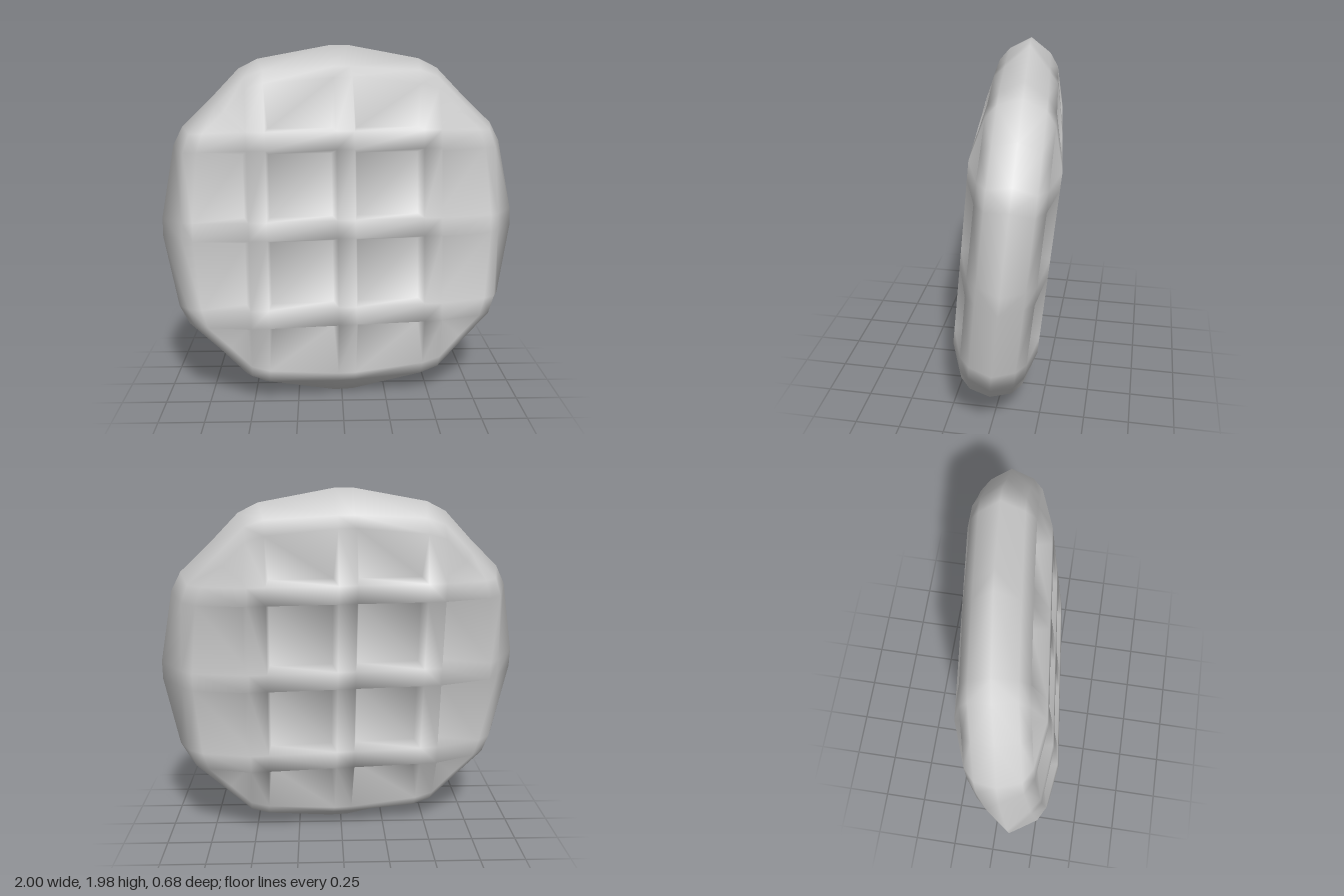
import * as THREE from 'three';
import { mergeVertices } from 'three/addons/utils/BufferGeometryUtils.js';

// Edges of the three ribs running each way; indices 0 and 7 are the rim
const LINES = [0, -0.535, -0.435, -0.05, 0.05, 0.435, 0.535, 0];
const TOP = 0.23;   // rib height above the middle plane
const FLOOR = 0.14; // pit floor height beside the ribs

// Rim rings from the face to the equator: reach at the middle rib, at the inner and
// outer edge of the side ribs, at the cut corner, height, rib widening, upward shift
const RINGS = [
  { reach: [0.835, 0.80, 0.77], corner: 0.65, h: 0.17, spread: 1, lift: 0 },
  { reach: [0.895, 0.875, 0.84], corner: 0.687, h: 0.118, spread: 1, lift: 0 },
  { reach: [1.005, 0.93, 0.877], corner: 0.716, h: 0, spread: 1.05, lift: 0.017 },
];

const isRim = (i) => i === 0 || i === 7;

// Point of a rim ring at grid position (i, j)
function rimPoint(ring, i, j) {
  const along = (k) => {
    if (!isRim(k)) return LINES[k] * ring.spread;
    const sign = k === 0 ? -1 : 1;
    if (isRim(i) && isRim(j)) return sign * ring.corner;
    const a = Math.abs(LINES[k === i ? j : i]);
    return sign * ring.reach[a < 0.1 ? 0 : a < 0.5 ? 1 : 2];
  };
  return [along(i), along(j) * 0.99 + ring.lift, ring.h];
}

const facePoint = (i, j) =>
  isRim(i) || isRim(j) ? rimPoint(RINGS[0], i, j) : [LINES[i], LINES[j], TOP];

// Sunken corner of pit (ci, cj); corners on the rim stay where they are
function floorPoint(i, j, ci, cj) {
  if (isRim(i) || isRim(j)) return facePoint(i, j);
  const inset = 0.02;
  return [LINES[i] + (i === ci ? inset : -inset), LINES[j] + (j === cj ? inset : -inset), FLOOR];
}

function waffleGeometry() {
  const pos = [];
  const same = (p, q) => p.every((v, k) => Math.abs(v - q[k]) < 1e-6);

  for (const side of [1, -1]) {
    const tri = (a, b, c) => {
      if (same(a, b) || same(b, c) || same(a, c)) return;
      for (const p of side > 0 ? [a, b, c] : [a, c, b]) pos.push(p[0], p[1], p[2] * side);
    };
    const quad = (a, b, c, d, flip = false) => {
      if (flip) { tri(a, b, d); tri(b, c, d); } else { tri(a, b, c); tri(a, c, d); }
    };

    // Ribs and pits
    for (let i = 0; i < 7; i++) {
      for (let j = 0; j < 7; j++) {
        const ids = [[i, j], [i + 1, j], [i + 1, j + 1], [i, j + 1]];
        const top = ids.map(([a, b]) => facePoint(a, b));
        if (i % 2 || j % 2) { quad(...top); continue; }
        const low = ids.map(([a, b]) => floorPoint(a, b, i, j));
        for (let k = 0; k < 4; k++) {
          const n = (k + 1) % 4;
          quad(top[k], top[n], low[n], low[k]);
        }
        // the fold of a corner pit runs from its deep corner to the rim
        quad(...low, (i === 0 && j === 6) || (i === 6 && j === 0));
      }
    }

    // Rounded rim, walked counter-clockwise
    const loop = [];
    for (let k = 0; k < 7; k++) loop.push([k, 0]);
    for (let k = 0; k < 7; k++) loop.push([7, k]);
    for (let k = 7; k > 0; k--) loop.push([k, 7]);
    for (let k = 7; k > 0; k--) loop.push([0, k]);
    for (let r = 0; r < RINGS.length - 1; r++) {
      loop.forEach((p, k) => {
        const q = loop[(k + 1) % loop.length];
        quad(rimPoint(RINGS[r + 1], ...p), rimPoint(RINGS[r + 1], ...q),
          rimPoint(RINGS[r], ...q), rimPoint(RINGS[r], ...p));
      });
    }
  }

  const raw = new THREE.BufferGeometry();
  raw.setAttribute('position', new THREE.Float32BufferAttribute(pos, 3));
  const geometry = mergeVertices(raw, 1e-4);
  geometry.computeVertexNormals();
  return geometry;
}

export function createModel() {
  const group = new THREE.Group();
  group.name = 'waffle';
  const body = new THREE.Mesh(waffleGeometry(), new THREE.MeshStandardMaterial({ color: 0xcccccc }));
  body.name = 'waffleBody';
  // Leans back and turns slightly
  body.rotation.set(-0.1, 0.11, 0, 'YXZ');
  body.position.y = 0.973;
  group.add(body);
  return group;
}
